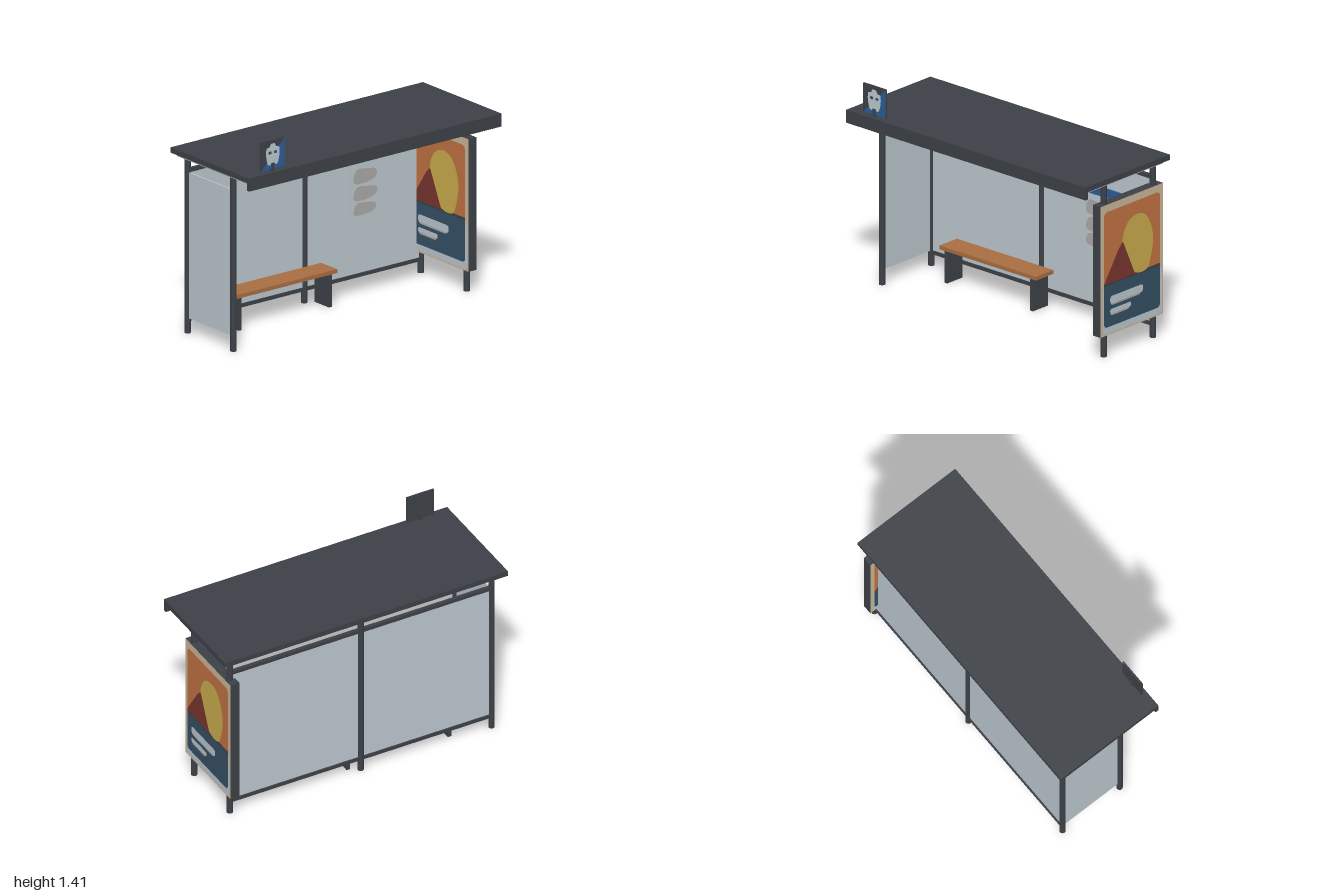
import * as THREE from 'three';

const mat = (name, color) => {
  const m = new THREE.MeshStandardMaterial({ color });
  m.name = name;
  return m;
};

export function createModel() {
  const dark = mat('charcoal metal', 0x3c4147);
  const glass = mat('pale glass', 0xb9c5cc);
  const grey = mat('warm grey', 0xaaa7a5);
  const wood = mat('wood', 0xa86d42);
  const blue = mat('sign blue', 0x2c5b97);
  const cream = mat('paper cream', 0xc8b598);
  const orange = mat('poster orange', 0xc07242);
  const yellow = mat('poster yellow', 0xc8aa4b);
  const maroon = mat('poster maroon', 0x78352e);
  const navy = mat('poster navy', 0x354f63);

  const model = new THREE.Group();
  model.name = 'busShelter';

  // Box given by its minimum and maximum corners
  const box = (name, m, [x0, y0, z0], [x1, y1, z1], parent = model) => {
    const mesh = new THREE.Mesh(new THREE.BoxGeometry(x1 - x0, y1 - y0, z1 - z0), m);
    mesh.position.set((x0 + x1) / 2, (y0 + y1) / 2, (z0 + z1) / 2);
    mesh.name = name;
    parent.add(mesh);
    return mesh;
  };

  // Flat painted shape facing +z
  const flat = (name, m, shape, z, parent) => {
    const mesh = new THREE.Mesh(new THREE.ShapeGeometry(shape, 10), m);
    mesh.position.z = z;
    mesh.name = name;
    parent.add(mesh);
  };

  // Rectangle with separate bottom and top corner radii
  const panel = (x0, y0, x1, y1, rb = 0, rt = rb) => {
    const s = new THREE.Shape();
    s.moveTo(x0 + rb, y0).lineTo(x1 - rb, y0);
    s.quadraticCurveTo(x1, y0, x1, y0 + rb).lineTo(x1, y1 - rt);
    s.quadraticCurveTo(x1, y1, x1 - rt, y1).lineTo(x0 + rt, y1);
    s.quadraticCurveTo(x0, y1, x0, y1 - rt).lineTo(x0, y0 + rb);
    s.quadraticCurveTo(x0, y0, x0 + rb, y0);
    return s;
  };
  const points = (list) => list.map(([x, y]) => new THREE.Vector2(x, y));
  const blob = (list) => {
    const curve = new THREE.CatmullRomCurve3(list.map(([x, y]) => new THREE.Vector3(x, y, 0)), true);
    return new THREE.Shape(curve.getPoints(48).slice(0, -1).map((p) => new THREE.Vector2(p.x, p.y)));
  };

  // Roof with front fascia and inset ceiling
  box('roof', dark, [-1, 1.17, -0.387], [1, 1.205, 0.387]);
  box('fascia', dark, [-1, 1.12, 0.365], [1, 1.205, 0.388]);
  box('ceiling', grey, [-0.97, 1.148, -0.36], [0.97, 1.172, 0.356]);

  // Round posts
  for (const [x, z] of [[-0.925, 0.14], [0.925, 0.14], [-0.925, -0.313], [0, -0.313], [0.925, -0.313]]) {
    const post = new THREE.Mesh(new THREE.CylinderGeometry(0.02, 0.02, 1.15, 20), dark);
    post.position.set(x, 0.575, z);
    post.name = 'post';
    model.add(post);
  }

  // Back wall and side wall
  for (const y of [0.078, 1.048]) box('backRail', dark, [-0.925, y, -0.325], [0.925, y + 0.024, -0.3]);
  for (const s of [-1, 1]) {
    box('backGlass', glass, [s * 0.459 - 0.449, 0.1, -0.317], [s * 0.459 + 0.449, 1.05, -0.307]);
  }
  box('sideGlass', glass, [-0.93, 0.098, -0.295], [-0.92, 1.05, 0.122]);

  // Bench
  box('benchSeat', wood, [-0.69, 0.215, -0.29], [0.115, 0.24, -0.13]);
  for (const x of [-0.647, 0.069]) box('benchLeg', dark, [x - 0.012, 0, -0.28], [x + 0.012, 0.216, -0.14]);

  // Poster case with the same artwork on both faces
  box('posterCase', dark, [0.89, 0.145, -0.375], [0.953, 1.01, 0.2]);
  const poster = (name, x, turn) => {
    const g = new THREE.Group();
    g.name = name;
    g.position.set(x, 0, -0.0875);
    g.rotation.y = turn;
    model.add(g);
    flat('posterPaper', cream, panel(-0.2875, 0.145, 0.2875, 1.01), 0.001, g);
    flat('posterLowerBorder', glass, panel(-0.264, 0.155, 0.278, 0.46, 0.03), 0.002, g);
    flat('posterSky', orange, panel(-0.257, 0.485, 0.257, 0.962, 0, 0.035), 0.003, g);
    flat('posterGround', navy, panel(-0.257, 0.198, 0.257, 0.475, 0.03, 0), 0.003, g);
    flat('posterSun', yellow, blob([[0.05, 0.875], [-0.025, 0.853], [-0.075, 0.79], [-0.087, 0.72],
      [-0.04, 0.59], [0.01, 0.505], [0.065, 0.48], [0.14, 0.49], [0.175, 0.57], [0.193, 0.665],
      [0.175, 0.765], [0.12, 0.85]]), 0.004, g);
    flat('posterMountain', maroon, new THREE.Shape(points([[-0.257, 0.485], [0.025, 0.485],
      [-0.005, 0.55], [-0.08, 0.715], [-0.088, 0.725], [-0.125, 0.69], [-0.185, 0.6], [-0.24, 0.52]])), 0.005, g);
    flat('posterHorizon', dark, panel(-0.257, 0.472, 0.257, 0.49), 0.0035, g);
    for (const [y0, y1, end] of [[0.335, 0.397, 0.098], [0.268, 0.312, -0.01]]) {
      const r = (y1 - y0) / 2.2;
      flat('posterBarShade', grey, panel(-0.2, y0, end - 0.015, y1 - 0.01, r), 0.004, g);
      flat('posterBar', glass, panel(-0.203, y0 + 0.012, end, y1, r * 0.75), 0.005, g);
    }
  };
  poster('outerPoster', 0.953, Math.PI / 2);
  poster('innerPoster', 0.89, -Math.PI / 2);

  // Timetable on the back glass
  const timetable = new THREE.Group();
  timetable.name = 'timetable';
  model.add(timetable);
  box('timetableBoard', glass, [0.355, 0.455, -0.308], [0.685, 0.885, -0.3], timetable);
  box('timetableHeader', blue, [0.355, 0.825, -0.307], [0.685, 0.886, -0.298], timetable);
  for (const [y0, y1, x1] of [[0.685, 0.78, 0.565], [0.575, 0.665, 0.57], [0.48, 0.56, 0.56]]) {
    const h = y1 - y0;
    flat('timetableEntry', grey, blob([[0.385, y0 + 0.01], [0.47, y0], [0.54, y0 + 0.015], [x1, y0 + h * 0.45],
      [x1 - 0.01, y1 - 0.02], [0.49, y1 - 0.005], [0.41, y1], [0.383, y0 + h * 0.6]]), -0.299, timetable);
  }

  // Stop sign plate with bus pictogram
  const sign = new THREE.Group();
  sign.name = 'stopSign';
  model.add(sign);
  box('signPlate', dark, [-0.885, 1.215, 0.347], [-0.695, 1.406, 0.358], sign);
  box('signBracket', dark, [-0.801, 1.2, 0.343], [-0.779, 1.258, 0.363], sign);
  flat('signFace', blue, panel(-0.883, 1.217, -0.697, 1.404), 0.359, sign);
  const half = [[0.015, 1.383], [0.026, 1.362], [0.05, 1.357], [0.055, 1.325], [0.05, 1.285],
    [0.04, 1.25], [0.022, 1.242], [0.012, 1.255]];
  const bus = new THREE.Shape(points([...half.map(([x, y]) => [-0.79 - x, y]),
    ...half.slice().reverse().map(([x, y]) => [-0.79 + x, y])]));
  for (const s of [-1, 1]) {
    bus.holes.push(new THREE.Path().absellipse(-0.79 + s * 0.022, 1.325, 0.013, 0.01, 0, Math.PI * 2));
  }
  flat('signPictogram', glass, bus, 0.36, sign);

  return model;
}
